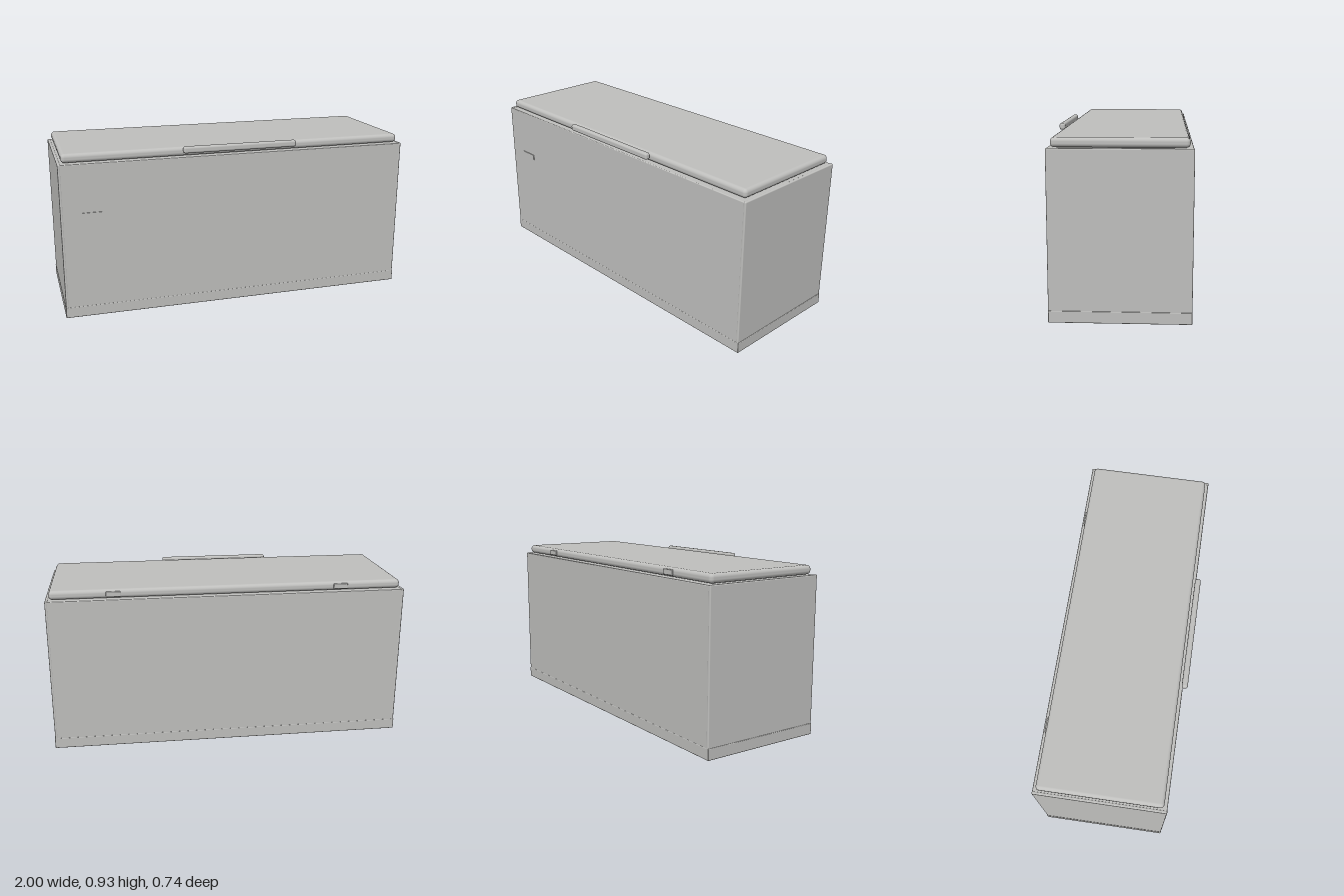
import * as THREE from 'three';
import { RoundedBoxGeometry } from 'three/addons/geometries/RoundedBoxGeometry.js';

export function createModel() {
  const model = new THREE.Group();
  model.name = 'chestFreezer';
  const grey = new THREE.MeshStandardMaterial({ color: 0xbfbfbd });
  grey.name = 'light grey';

  // Adds a box by its limits on each axis, rounded when r > 0
  function box(name, [x0, x1], [y0, y1], [z0, z1], r = 0) {
    const size = [x1 - x0, y1 - y0, z1 - z0];
    const geometry = r > 0
      ? new RoundedBoxGeometry(...size, 4, r)
      : new THREE.BoxGeometry(...size);
    const mesh = new THREE.Mesh(geometry, grey);
    mesh.name = name;
    mesh.position.set((x0 + x1) / 2, (y0 + y1) / 2, (z0 + z1) / 2);
    model.add(mesh);
    return mesh;
  }

  // Cabinet with a slightly wider foot
  box('cabinet', [-0.99, 0.99], [0.002, 0.866], [-0.364, 0.346], 0.005);
  box('baseSkirt', [-1, 1], [0, 0.062], [-0.365, 0.347], 0.004);

  // Side panels
  for (const s of [-1, 1]) {
    const xs = s < 0 ? [-0.998, -0.982] : [0.982, 0.998];
    box(s < 0 ? 'rightPanel' : 'leftPanel', xs, [0.002, 0.868], [-0.365, 0.347], 0.006);
  }

  // Seal under the lid, then the soft-edged lid
  box('lidSeal', [-0.945, 0.945], [0.855, 0.88], [-0.315, 0.297]);
  box('lid', [-0.977, 0.977], [0.869, 0.918], [-0.345, 0.327], 0.02);

  // Handle bar ahead of the lid
  box('handle', [-0.325, 0.325], [0.89, 0.927], [0.338, 0.37], 0.012);

  // Hinge covers at the back edge of the lid
  for (const s of [-1, 1]) {
    const x = s * 0.632;
    box(s < 0 ? 'rightHinge' : 'leftHinge', [x - 0.04, x + 0.04], [0.878, 0.908], [-0.351, -0.335], 0.004);
  }

  // Small blank plate on the front
  box('frontPlate', [-0.88, -0.77], [0.565, 0.598], [0.345, 0.351]);

  return model;
}
